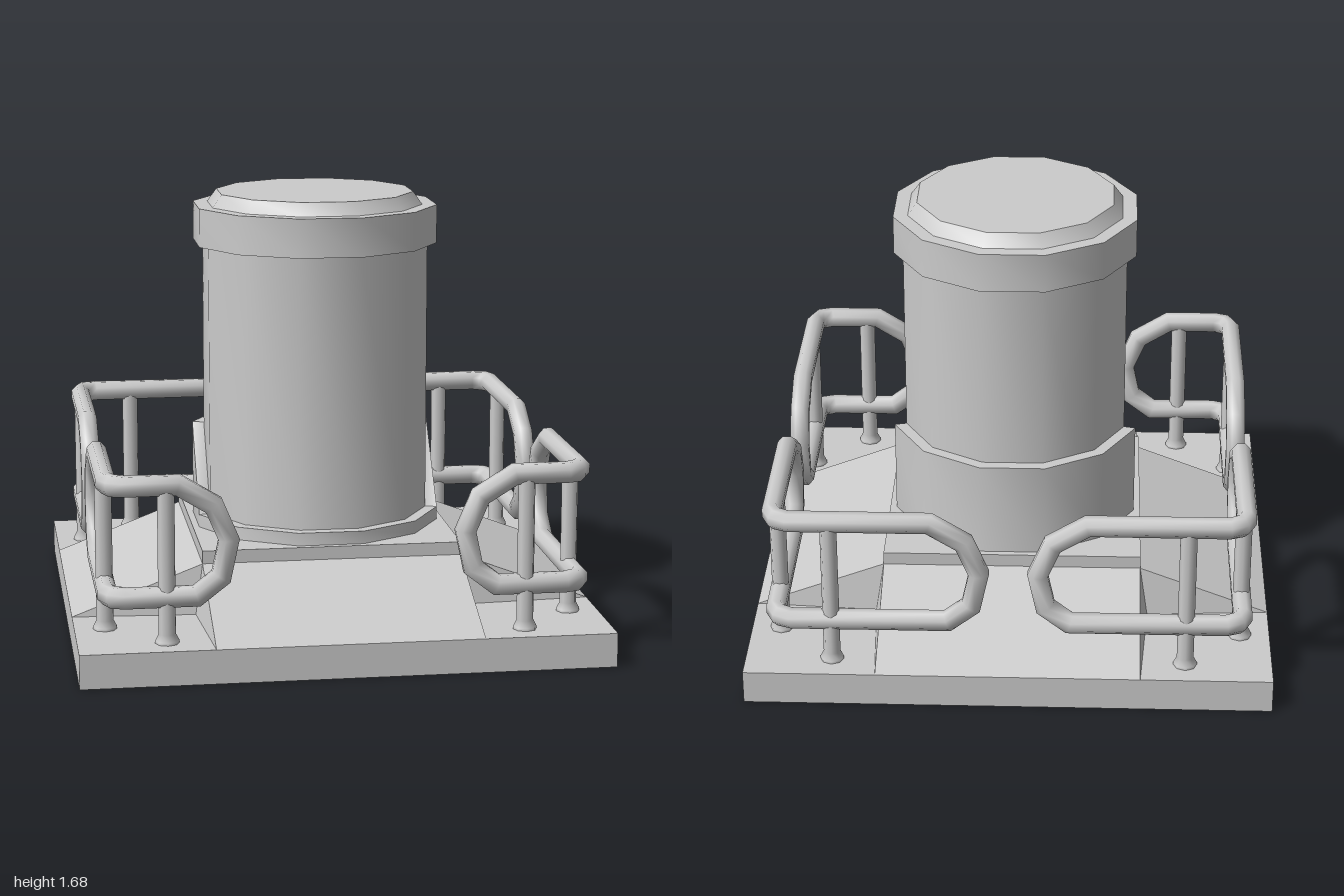
import * as THREE from 'three';
import { toCreasedNormals } from 'three/addons/utils/BufferGeometryUtils.js';

const TUBE = 0.04;      // rail radius
const LINE = 0.885;     // distance of rails from the centre
const grey = new THREE.MeshStandardMaterial({ color: 0xcccccc });
const sheet = new THREE.MeshStandardMaterial({ color: 0xcccccc, side: THREE.DoubleSide, flatShading: true });

function named(name, geometry, material = grey) {
  const mesh = new THREE.Mesh(geometry, material);
  mesh.name = name;
  return mesh;
}

// Twelve-sided lathe with flats facing the axes; radii are measured to the flats
function twelveSided(profile) {
  const points = profile.map(([r, y]) => new THREE.Vector2(r / Math.cos(Math.PI / 12), y));
  return new THREE.LatheGeometry(points, 12, Math.PI / 12);
}

// Hollow base: rim, four ramps, sunken corners and the raised centre plate
function baseGeometry() {
  const pos = [];
  const up = new THREE.Vector3(0, 1, 0);
  const side = (k, ...corners) => {
    const p = corners.map((c) => new THREE.Vector3(...c).applyAxisAngle(up, k * Math.PI / 2));
    for (let i = 1; i < p.length - 1; i++) {
      for (const v of [p[0], p[i], p[i + 1]]) pos.push(v.x, v.y, v.z);
    }
  };
  const low = 0.13, high = 0.32, top = 0.37, h = 0.5, f = 0.53;
  for (let k = 0; k < 4; k++) {
    side(k, [-1, 0, 1], [1, 0, 1], [1, low, 1], [-1, low, 1]);              // rim
    side(k, [-h, low, 1], [h, low, 1], [h, high, h], [-h, high, h]);        // ramp
    side(k, [h, low, 1], [f, low, f], [h, high, h]);                        // ramp cheeks
    side(k, [f, low, f], [1, low, h], [h, high, h]);
    side(k, [f, low, f], [h, low, 1], [1, low, 1], [1, low, h]);            // corner floor
    side(k, [-h, high, h], [h, high, h], [h, top, h], [-h, top, h]);        // plate edge
  }
  side(0, [-h, top, h], [h, top, h], [h, top, -h], [-h, top, -h]);          // plate top
  const g = new THREE.BufferGeometry();
  g.setAttribute('position', new THREE.Float32BufferAttribute(pos, 3));
  g.computeVertexNormals();
  return g;
}

// Closed rail bent around a corner; endX and endZ are where its two arms stop
function railGeometry(endX, endZ) {
  const bow = [[0.185, 0.725], [0.055, 0.645], [0, 0.515], [0.03, 0.375], [0.12, 0.305]];
  const corner = [[0.82, 0.885, 12], [0.865, 0.865, 45], [0.885, 0.82, 78]];
  const path = [
    ...corner.map(([x, z, a]) => [x, 0.725, z, a]),
    ...bow.map(([d, y]) => [LINE, y, endZ + d, 90]),
    ...[...corner].reverse().map(([x, z, a]) => [x, 0.305, z, a]),
    ...[...bow].reverse().map(([d, y]) => [endX + d, y, LINE, 0]),
  ];
  const count = path.length, sides = 8, pos = [], index = [];
  const pts = path.map(([x, y, z]) => new THREE.Vector3(x, y, z));
  path.forEach((entry, i) => {
    const a = THREE.MathUtils.degToRad(entry[3]);
    const before = pts[i].clone().sub(pts[(i + count - 1) % count]).normalize();
    const after = pts[(i + 1) % count].clone().sub(pts[i]).normalize();
    const t = before.clone().add(after).normalize();
    const n = new THREE.Vector3(Math.sin(a), 0, Math.cos(a));
    const b = t.clone().cross(n).normalize().multiplyScalar(1 / t.dot(before));
    for (let j = 0; j < sides; j++) {
      const w = ((j + 0.5) / sides) * Math.PI * 2;
      const v = pts[i].clone().addScaledVector(n, TUBE * Math.cos(w)).addScaledVector(b, TUBE * Math.sin(w));
      pos.push(v.x, v.y, v.z);
      const p = i * sides + j, q = i * sides + (j + 1) % sides;
      const r = ((i + 1) % count) * sides + j, s = ((i + 1) % count) * sides + (j + 1) % sides;
      index.push(p, q, r, q, s, r);
    }
  });
  const g = new THREE.BufferGeometry();
  g.setAttribute('position', new THREE.Float32BufferAttribute(pos, 3));
  g.setIndex(index);
  g.computeVertexNormals();
  return g;
}

// Rail with two footed posts
function guardRail(endX, endZ) {
  const group = new THREE.Group();
  group.name = 'guardRail';
  group.add(named('rail', railGeometry(endX, endZ)));
  const profile = [[0.045, 0.13], [0.045, 0.14], [0.032, 0.165], [0.032, 0.72]];
  const post = new THREE.LatheGeometry(profile.map(([r, y]) => new THREE.Vector2(r, y)), 8);
  for (const [x, z] of [[LINE, 0.67], [0.67, LINE]]) {
    const mesh = named('post', post);
    mesh.position.set(x, 0, z);
    group.add(mesh);
  }
  return group;
}

export function createModel() {
  const model = new THREE.Group();
  model.name = 'rampedPillar';
  model.add(named('base', baseGeometry(), sheet));

  // Pillar and its bevelled lid
  const crease = 0.62;
  model.add(named('pillar', toCreasedNormals(twelveSided([[0.43, 0.37], [0.43, 1.48]]), crease)));
  model.add(named('lid', toCreasedNormals(twelveSided([
    [0.43, 1.48], [0.465, 1.48], [0.465, 1.63], [0.41, 1.63], [0.375, 1.68], [0, 1.68],
  ]), crease)));

  // Collar: low in front, raised behind
  const collar = twelveSided([[0.475, 0.37], [0.475, 0.42], [0.43, 0.42]]);
  const p = collar.attributes.position;
  for (let i = 0; i < p.count; i++) {
    if (p.getY(i) > 0.4 && p.getZ(i) < 0) p.setY(i, 0.74);
  }
  model.add(named('collar', toCreasedNormals(collar, crease)));

  // Four corner rails; the front arms are shorter to leave a wide entrance
  [[0.44, 0.11], [0.11, 0.11], [0.11, 0.11], [0.11, 0.44]].forEach(([endX, endZ], k) => {
    const rail = guardRail(endX, endZ);
    rail.rotation.y = k * Math.PI / 2;
    model.add(rail);
  });
  return model;
}
